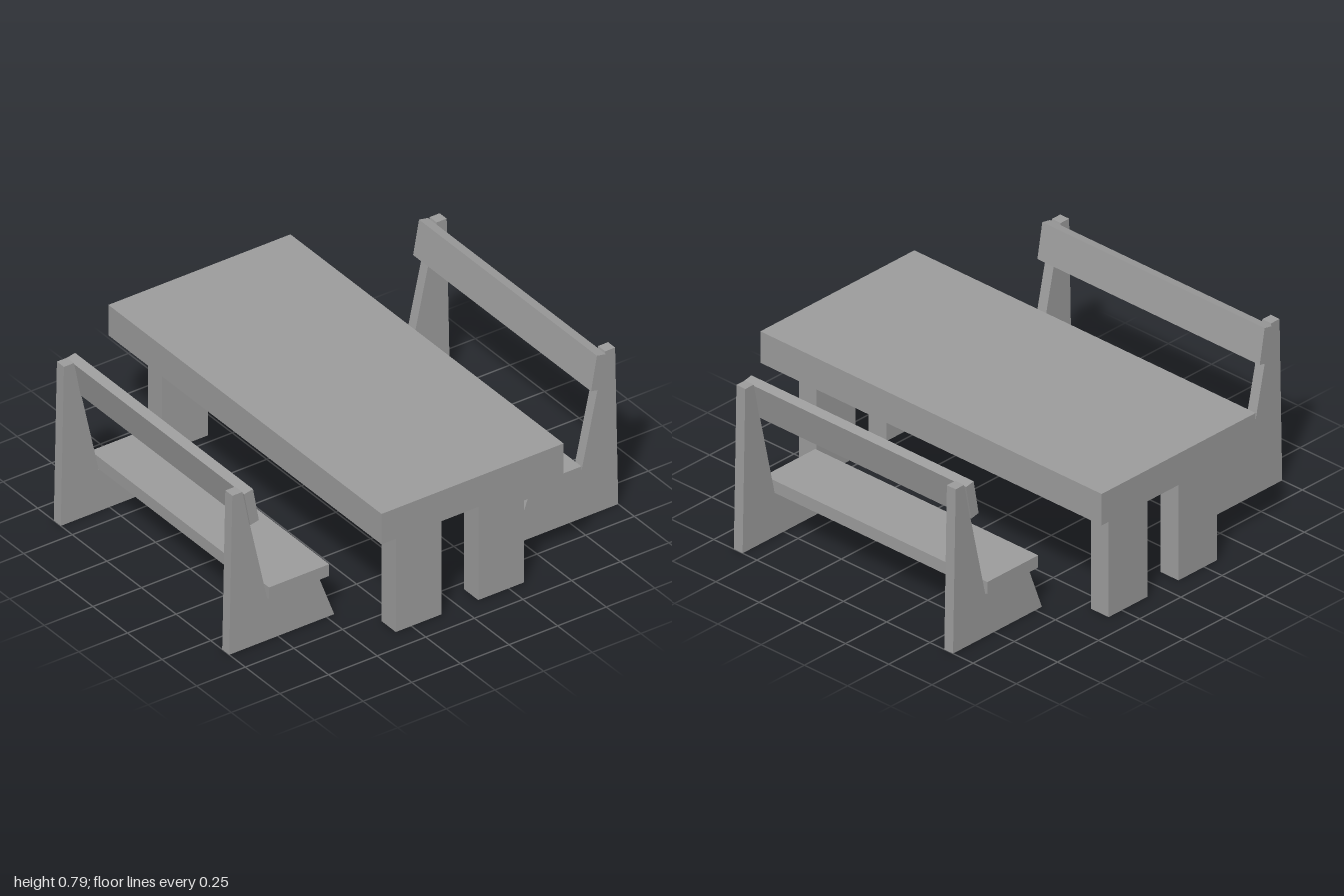
import * as THREE from 'three';

const material = new THREE.MeshStandardMaterial({ color: 0x9e9e9e, flatShading: true, side: THREE.DoubleSide });

// Side profile in x/y extruded along z, left hollow and open underneath
function profileBoard(name, points, z0, z1) {
  const shape = new THREE.Shape(points.map(([x, y]) => new THREE.Vector2(x, y)));
  const solid = new THREE.ExtrudeGeometry(shape, { depth: z1 - z0, bevelEnabled: false });
  const source = solid.attributes.position;
  const corners = [];
  const triangle = new THREE.Triangle();
  const normal = new THREE.Vector3();
  for (let i = 0; i < source.count; i += 3) {
    triangle.setFromAttributeAndIndices(source, i, i + 1, i + 2);
    if (triangle.getNormal(normal).y > -0.9) corners.push(triangle.a.clone(), triangle.b.clone(), triangle.c.clone());
  }
  const geometry = new THREE.BufferGeometry().setFromPoints(corners);
  geometry.computeVertexNormals();
  const mesh = new THREE.Mesh(geometry, material);
  mesh.position.z = z0;
  mesh.name = name;
  return mesh;
}

// Straight board given by its limits on each axis
function board(name, [x0, x1], [y0, y1], [z0, z1]) {
  return profileBoard(name, [[x0, y0], [x1, y0], [x1, y1], [x0, y1]], z0, z1);
}

function createTable() {
  const table = new THREE.Group();
  table.name = 'table';
  table.add(board('tableTop', [-0.468, 0.468], [0.538, 0.69], [-0.987, 0.987]));
  for (const x of [[-0.33, -0.094], [0.094, 0.33]]) {
    for (const z of [[-0.896, -0.793], [0.793, 0.896]]) {
      table.add(board('tableLeg', x, [0, 0.538], z));
    }
  }
  return table;
}

// Bench on the +x side, facing the table
function createBench(name) {
  const bench = new THREE.Group();
  bench.name = name;
  const side = [[0.46, 0], [1, 0], [0.984, 0.788], [0.933, 0.788], [0.805, 0.209], [0.538, 0.209]];
  const back = [[0.898, 0.614], [0.93, 0.78], [0.884, 0.789], [0.854, 0.623]];
  bench.add(
    profileBoard('benchSide', side, 0.583, 0.634),
    profileBoard('benchSide', side, -0.634, -0.583),
    profileBoard('backrest', back, -0.643, 0.643),
    board('seat', [0.494, 0.803], [0.209, 0.268], [-0.645, 0.645]),
  );
  return bench;
}

export function createModel() {
  const model = new THREE.Group();
  model.name = 'picnicSet';
  const leftBench = createBench('leftBench');
  const rightBench = createBench('rightBench');
  rightBench.rotation.y = Math.PI;
  model.add(createTable(), leftBench, rightBench);
  return model;
}
